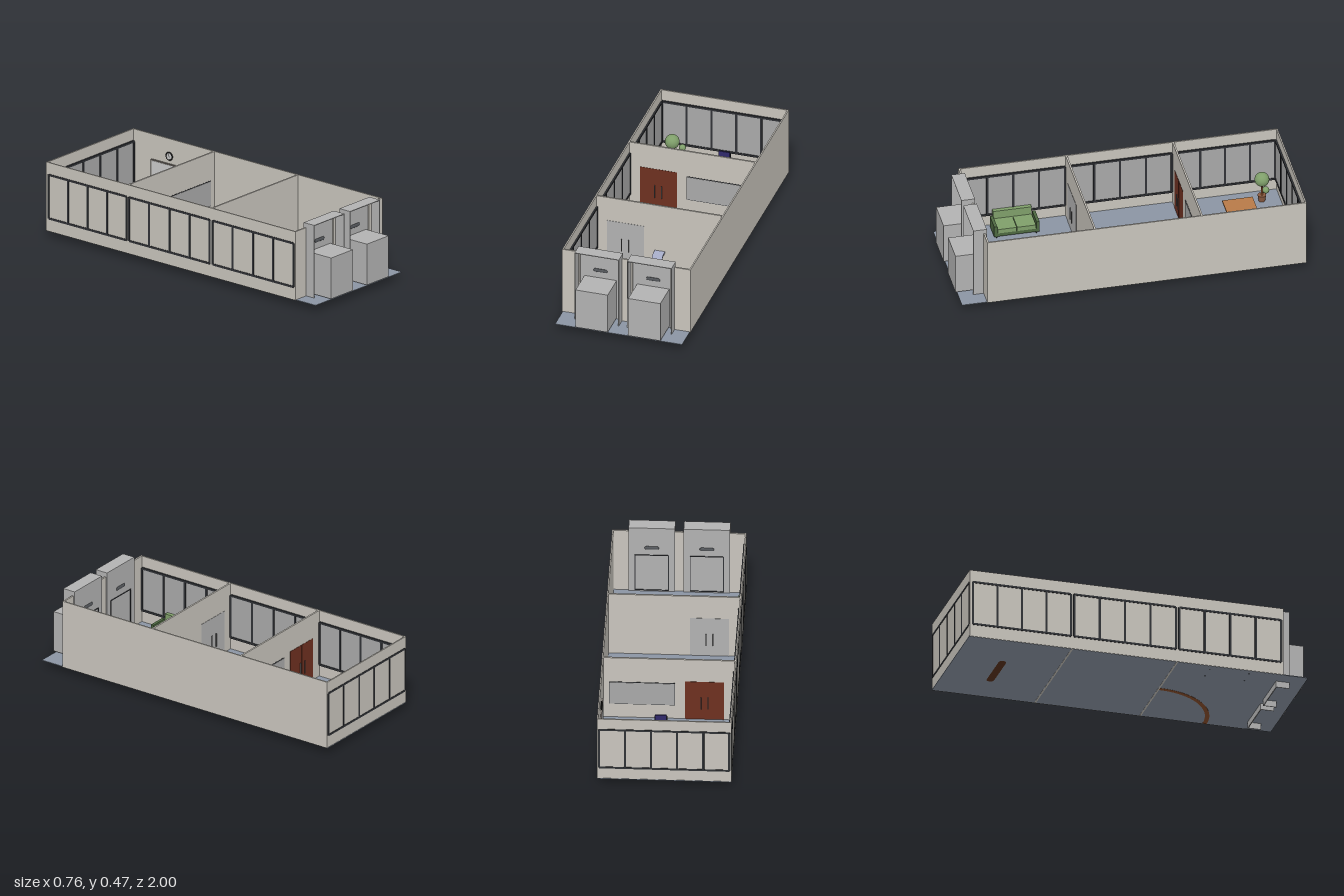
import * as THREE from 'three';

const mats = {};
const mat = (color) => (mats[color] ??= new THREE.MeshStandardMaterial({ color }));
const WALL = 0xc9c5bd, GREY = 0xb2b2b2, DARK = 0x303236, PANE = 0xa9a9a9, FLOOR = 0x8b95a3;
const NAVY = 0x2e2768, GREEN = 0x7f9f6a, DARK_GREEN = 0x4d6840, BROWN = 0x8a4f2c;
const FY = 0.04, WH = 0.448; // floor level and wall top

function add(parent, name, geometry, color, x = 0, y = 0, z = 0) {
  const m = new THREE.Mesh(geometry, mat(color));
  m.name = name;
  m.position.set(x, y, z);
  parent.add(m);
  return m;
}

// box given by its limits on each axis
function box(parent, name, color, [x0, x1], [y0, y1], [z0, z1]) {
  return add(parent, name, new THREE.BoxGeometry(x1 - x0, y1 - y0, z1 - z0), color,
    (x0 + x1) / 2, (y0 + y1) / 2, (z0 + z1) / 2);
}

function group(parent, name, x = 0, y = 0, z = 0) {
  const g = new THREE.Group();
  g.name = name;
  g.position.set(x, y, z);
  parent.add(g);
  return g;
}

// row of framed panes, built along x and centred on the origin
function windowRow(parent, length, panes) {
  const g = group(parent, 'windowRow');
  const h = 0.26, t = 0.012, d = 0.01, step = length / panes;
  box(g, 'panes', PANE, [-length / 2, length / 2], [-h / 2, h / 2], [-0.006, 0.006]);
  for (const s of [-1, 1])
    box(g, 'rail', DARK, [-length / 2, length / 2], [s * h / 2 - t / 2, s * h / 2 + t / 2], [-d, d]);
  for (let i = 0; i <= panes; i++) {
    const x = -length / 2 + i * step;
    box(g, 'mullion', DARK, [x - t / 2, x + t / 2], [-h / 2, h / 2], [-d, d]);
  }
  return g;
}

// double door with bar handles on both faces
function doubleDoor(parent, color, z) {
  const g = group(parent, 'doubleDoor', -0.2, FY, z);
  for (const s of [-1, 1]) {
    add(g, 'doorLeaf', new THREE.BoxGeometry(0.109, 0.258, 0.013), color, s * 0.055, 0.129, 0);
    for (const f of [-1, 1])
      add(g, 'doorHandle', new THREE.CylinderGeometry(0.003, 0.003, 0.08, 8), 0x777777, s * 0.02, 0.115, f * 0.014);
  }
}

// open-fronted entrance niche with a cabinet standing in it
function entrance(parent, x) {
  const g = group(parent, 'entranceNiche', x);
  const w = 0.131, t = 0.004;
  box(g, 'backPanel', GREY, [-w, w], [0, 0.475], [0.827, 0.832]);
  box(g, 'topPanel', GREY, [-w, w], [0.475 - t, 0.475], [0.83, 0.905]);
  for (const s of [-1, 1])
    add(g, 'sidePanel', new THREE.BoxGeometry(t, 0.475 - t, 0.073), GREY, s * (w - t / 2), (0.475 - t) / 2, 0.8685);
  box(g, 'cabinet', GREY, [-0.095, 0.095], [0.048, 0.292], [0.83, 1]);
  for (const s of [-1, 1]) {
    add(g, 'panelTrim', new THREE.BoxGeometry(t, 0.244, 0.006), DARK, s * 0.094, 0.17, 0.826);
    add(g, 'panelTrim', new THREE.BoxGeometry(0.19, t, 0.006), DARK, 0, 0.17 + s * 0.12, 0.826);
    // rounded slot plate on both faces of the back panel
    const plate = add(g, 'slotPlate', new THREE.CapsuleGeometry(0.011, 0.06, 4, 10), 0x55585c, 0, 0.34, 0.8295 + s * 0.003);
    plate.rotation.z = Math.PI / 2;
    plate.scale.z = 0.5;
  }
}

// office chair facing +z
function chair(parent, x, z, turn) {
  const g = group(parent, 'officeChair', x, FY, z);
  g.rotation.y = turn;
  box(g, 'seat', NAVY, [-0.033, 0.033], [0.056, 0.068], [-0.025, 0.038]);
  const back = box(g, 'backrest', NAVY, [-0.032, 0.032], [0.075, 0.145], [-0.034, -0.024]);
  back.rotation.x = -0.08;
  box(g, 'backFrame', 0x1a1a22, [-0.036, 0.036], [0.07, 0.135], [-0.04, -0.033]);
  for (const s of [-1, 1]) {
    add(g, 'armrest', new THREE.BoxGeometry(0.01, 0.006, 0.04), 0x33333a, s * 0.043, 0.094, 0.005);
    add(g, 'armPost', new THREE.BoxGeometry(0.006, 0.034, 0.01), 0x33333a, s * 0.041, 0.076, 0.005);
  }
  add(g, 'column', new THREE.CylinderGeometry(0.005, 0.005, 0.05, 10), 0x33333a, 0, 0.032, 0);
  for (let i = 0; i < 5; i++) {
    const leg = add(g, 'footSpoke', new THREE.BoxGeometry(0.006, 0.006, 0.035), 0x33333a);
    const a = i * Math.PI * 0.4;
    leg.position.set(Math.sin(a) * 0.0175, 0.006, Math.cos(a) * 0.0175);
    leg.rotation.y = a;
  }
}

// quarter ring lying flat, bulging towards -x and +z
function quarterRing(outer, inner, height) {
  const s = new THREE.Shape();
  s.absarc(0, 0, outer, Math.PI, Math.PI * 1.5, false);
  s.absarc(0, 0, inner, Math.PI * 1.5, Math.PI, true);
  s.closePath();
  return new THREE.ExtrudeGeometry(s, { depth: height, bevelEnabled: false, curveSegments: 32 }).rotateX(-Math.PI / 2);
}

export function createModel() {
  const root = new THREE.Group();
  root.name = 'officeBuilding';

  // shell
  box(root, 'floor', FLOOR, [-0.375, 0.375], [0.037, 0.041], [-1, 0.99]);
  const walls = group(root, 'walls');
  const H = [0.038, WH];
  box(walls, 'solidSideWall', WALL, [0.371, 0.379], H, [-0.998, 0.845]);
  box(walls, 'windowSideWall', WALL, [-0.379, -0.371], H, [-0.998, 0.845]);
  box(walls, 'rearWall', WALL, [-0.379, 0.379], H, [-0.998, -0.99]);
  for (const xs of [[-0.379, -0.275], [-0.047, 0.037], [0.262, 0.379]])
    box(walls, 'frontWall', WALL, xs, H, [0.835, 0.845]);
  for (const z of [-0.395, 0.222])
    box(walls, 'partition', WALL, [-0.375, 0.375], [0.036, WH], [z - 0.005, z + 0.005]);

  // windows along the rear and the right side
  windowRow(root, 0.735, 5).position.set(0, 0.245, -0.99);
  for (const [z0, z1] of [[-0.98, -0.405], [-0.385, 0.212], [0.232, 0.83]]) {
    const row = windowRow(root, z1 - z0, 4);
    row.position.set(-0.372, 0.245, (z0 + z1) / 2);
    row.rotation.y = Math.PI / 2;
  }

  // doors and interior window
  doubleDoor(root, GREY, 0.222);
  doubleDoor(root, 0x6e3020, -0.395);
  box(root, 'interiorWindowFrame', DARK, [-0.034, 0.339], [0.131, 0.284], [-0.401, -0.389]);
  box(root, 'interiorWindow', PANE, [-0.03, 0.335], [0.135, 0.28], [-0.403, -0.387]);

  entrance(root, -0.156);
  entrance(root, 0.155);

  // meeting room
  const table = group(root, 'meetingTable');
  box(table, 'tableTop', 0xb87a48, [-0.18, 0.24], [0.132, 0.142], [-0.81, -0.635]);
  const base = add(table, 'tableBase', new THREE.CapsuleGeometry(0.03, 0.24, 6, 16).rotateZ(Math.PI / 2), 0x5a321c, 0.03, 0.042, -0.722);
  base.scale.y = 0.25;
  box(table, 'tablePedestal', 0x5a321c, [-0.1, 0.16], [0.04, 0.133], [-0.732, -0.712]);
  box(table, 'notepad', 0xc8c8c8, [-0.008, 0.032], [0.142, 0.147], [-0.745, -0.7]);
  box(table, 'paper', 0xd8d8d8, [0.048, 0.076], [0.142, 0.144], [-0.742, -0.702]);
  chair(root, 0.038, -0.838, 0);
  chair(root, 0.038, -0.605, Math.PI);

  box(root, 'wallBoardFrame', 0x77706a, [0.362, 0.371], [0.15, 0.3], [-0.855, -0.59]);
  box(root, 'wallBoard', 0xd0d0d0, [0.36, 0.364], [0.156, 0.294], [-0.849, -0.596]);
  const clock = group(root, 'wallClock', 0.366, 0.345, -0.722);
  clock.rotation.y = -Math.PI / 2;
  add(clock, 'clockRim', new THREE.TorusGeometry(0.022, 0.004, 8, 28), 0x222222);
  add(clock, 'clockFace', new THREE.CylinderGeometry(0.022, 0.022, 0.004, 28).rotateX(Math.PI / 2), 0xcccccc);
  for (const [len, a] of [[0.016, 0], [0.011, -1.9]]) {
    const hand = add(clock, 'clockHand', new THREE.BoxGeometry(0.002, len, 0.001).translate(0, len / 2, 0), 0x222222, 0, 0, 0.003);
    hand.rotation.z = a;
  }

  // potted tree
  const plant = group(root, 'pottedTree', -0.275, FY, -0.885);
  add(plant, 'pot', new THREE.CylinderGeometry(0.025, 0.018, 0.04, 16), 0x8a5a40, 0, 0.02, 0);
  add(plant, 'trunk', new THREE.CylinderGeometry(0.005, 0.006, 0.11, 8), BROWN, 0, 0.085, 0);
  add(plant, 'crown', new THREE.SphereGeometry(0.042, 20, 14), GREEN, 0, 0.146, 0);
  const branch = add(plant, 'branch', new THREE.CylinderGeometry(0.003, 0.003, 0.065, 6), BROWN, 0.028, 0.09, -0.005);
  branch.rotation.z = -1;
  add(plant, 'smallCrown', new THREE.SphereGeometry(0.02, 16, 12), GREEN, 0.057, 0.11, -0.01);

  // reception desk and stool
  const desk = group(root, 'receptionDesk', 0.371, 0, 0.227);
  add(desk, 'deskBody', quarterRing(0.385, 0.36, 0.106), BROWN, 0, 0.036, 0);
  add(desk, 'deskTop', quarterRing(0.398, 0.338, 0.011), 0xaab0cc, 0, 0.142, 0);
  const stool = group(root, 'stool', 0.186, FY, 0.405);
  add(stool, 'stoolSeat', new THREE.CylinderGeometry(0.037, 0.037, 0.014, 28), NAVY, 0, 0.078, 0);
  add(stool, 'stoolPost', new THREE.CylinderGeometry(0.006, 0.006, 0.07, 10), 0x777777, 0, 0.036, 0);
  add(stool, 'stoolFoot', new THREE.CylinderGeometry(0.022, 0.026, 0.006, 24), 0x777777, 0, 0.004, 0);

  // two-seat sofa facing +x
  const sofa = group(root, 'sofa');
  box(sofa, 'sofaBase', DARK_GREEN, [-0.345, -0.232], [0.052, 0.075], [0.425, 0.653]);
  box(sofa, 'sofaBack', GREEN, [-0.364, -0.34], [0.052, 0.15], [0.43, 0.652]);
  for (const s of [-1, 1]) {
    const zc = 0.539;
    add(sofa, 'seatCushion', new THREE.BoxGeometry(0.112, 0.026, 0.108), GREEN, -0.284, 0.088, zc + s * 0.0555);
    add(sofa, 'sofaArm', new THREE.BoxGeometry(0.112, 0.068, 0.018), DARK_GREEN, -0.286, 0.086, zc + s * 0.122);
    for (const x of [-0.335, -0.24])
      add(sofa, 'sofaLeg', new THREE.CylinderGeometry(0.005, 0.004, 0.018, 8), 0x222222, x, 0.045, zc + s * 0.115);
  }
  return root;
}
